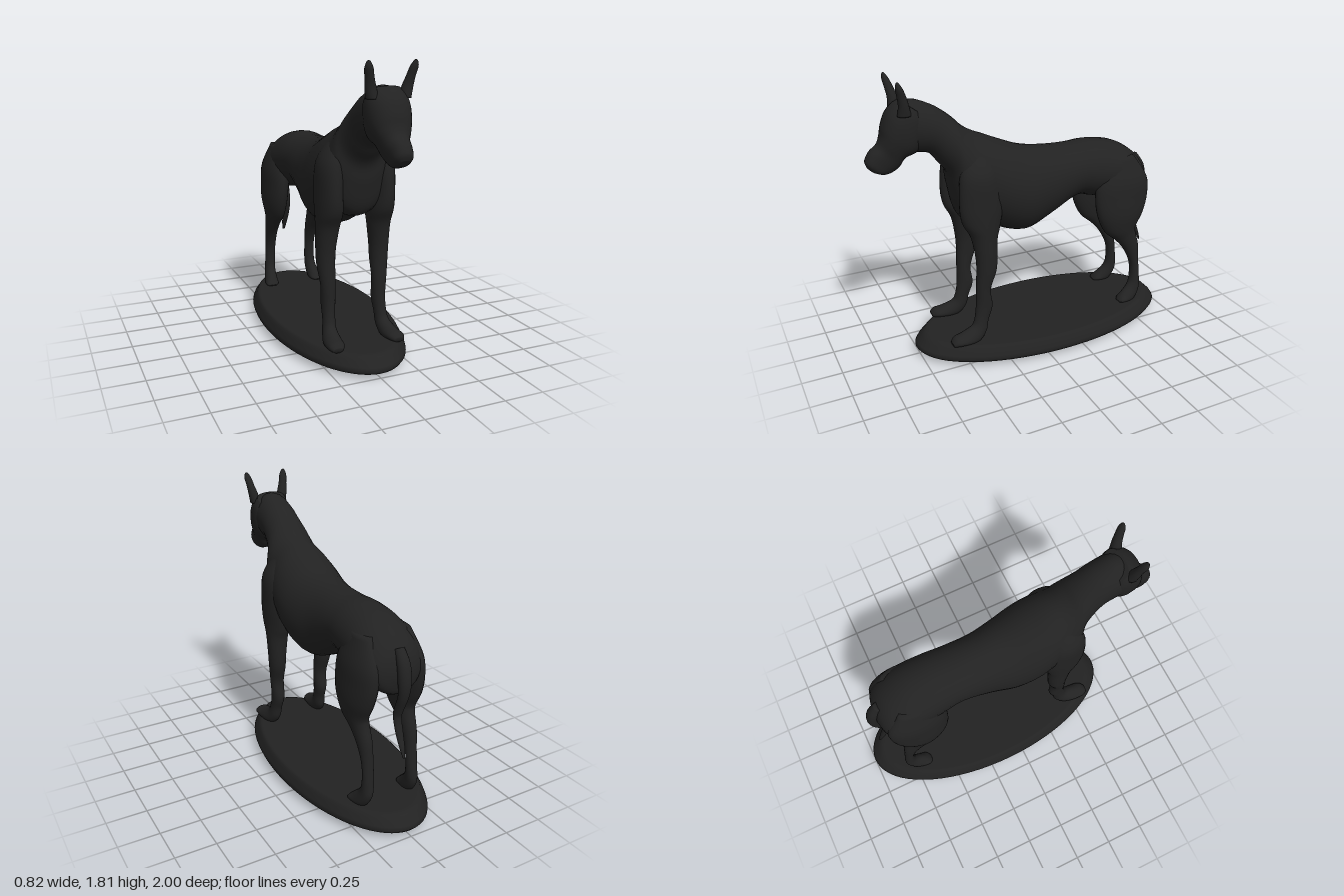
import * as THREE from 'three';

const charcoal = new THREE.MeshStandardMaterial({ color: 0x222222 });
charcoal.name = 'charcoal';

// Smooth skin through cross-sections. Each station is
// [z1, y1, z2, y2, halfWidth, xCentre]: two opposite points of the side outline.
function loft(stations, side = 1, power = 1, steps = 5, sides = 28) {
  const at = (i) => stations[Math.max(0, Math.min(stations.length - 1, i))];
  const spline = (a, b, c, d, t) =>
    0.5 * (2 * b + (c - a) * t + (2 * a - 5 * b + 4 * c - d) * t * t + (3 * b - a - 3 * c + d) * t * t * t);
  const pos = [], index = [];
  const rings = (stations.length - 1) * steps + 1;
  const centres = [];
  for (let r = 0; r < rings; r++) {
    const i = Math.floor(r / steps), t = (r % steps) / steps;
    const [z1, y1, z2, y2, w, x] = [0, 1, 2, 3, 4, 5].map((k) =>
      spline(at(i - 1)[k] || 0, at(i)[k] || 0, at(i + 1)[k] || 0, at(i + 2)[k] || 0, t));
    const cy = (y1 + y2) / 2, cz = (z1 + z2) / 2;
    centres.push([x * side, cy, cz]);
    for (let j = 0; j < sides; j++) {
      const a = (j / sides) * Math.PI * 2;
      const c = Math.sign(Math.cos(a)) * Math.abs(Math.cos(a)) ** power;
      const s = Math.sign(Math.sin(a)) * Math.abs(Math.sin(a)) ** power;
      pos.push(x * side + c * w, cy + s * (y1 - y2) / 2, cz + s * (z1 - z2) / 2);
    }
  }
  for (let r = 0; r < rings - 1; r++) {
    for (let j = 0; j < sides; j++) {
      const k = (j + 1) % sides, p = r * sides, q = p + sides;
      index.push(p + j, p + k, q + j, p + k, q + k, q + j);
    }
  }
  // Close both ends
  const first = rings * sides, last = (rings - 1) * sides;
  pos.push(...centres[0], ...centres[rings - 1]);
  for (let j = 0; j < sides; j++) {
    const k = (j + 1) % sides;
    index.push(first, k, j, first + 1, last + j, last + k);
  }
  const geo = new THREE.BufferGeometry();
  geo.setAttribute('position', new THREE.Float32BufferAttribute(pos, 3));
  geo.setIndex(index);
  geo.computeVertexNormals();
  return geo;
}

export function createModel() {
  const model = new THREE.Group();
  const add = (name, geo) => {
    const mesh = new THREE.Mesh(geo, charcoal);
    mesh.name = name;
    model.add(mesh);
    return mesh;
  };

  // Oval plinth with a rounded rim
  const profile = [
    [0, 0], [0.8, 0], [0.83, 0.005], [0.92, 0.015], [0.98, 0.03], [1, 0.05], [0.985, 0.07],
    [0.95, 0.1], [0.93, 0.118], [0.905, 0.126], [0.88, 0.127], [0, 0.127],
  ].map(([r, y]) => new THREE.Vector2(r, y));
  const base = add('base', new THREE.LatheGeometry(profile, 72));
  base.scale.set(0.41, 1, 0.885);
  base.position.z = -0.115;

  // Trunk and neck, from rump to poll
  add('trunkAndNeck', loft([
    [-0.85, 1.01, -0.85, 0.93, 0.05],
    [-0.82, 1.1, -0.825, 0.85, 0.14],
    [-0.75, 1.18, -0.75, 0.84, 0.185],
    [-0.62, 1.25, -0.62, 0.86, 0.2],
    [-0.45, 1.28, -0.45, 0.9, 0.19],
    [-0.3, 1.275, -0.33, 0.92, 0.18],
    [-0.12, 1.285, -0.14, 0.82, 0.19],
    [0.03, 1.31, 0.02, 0.757, 0.22],
    [0.17, 1.365, 0.16, 0.785, 0.235],
    [0.27, 1.41, 0.3, 0.86, 0.225],
    [0.36, 1.45, 0.45, 0.91, 0.2],
    [0.42, 1.49, 0.5, 1.08, 0.175],
    [0.47, 1.54, 0.515, 1.2, 0.15],
    [0.53, 1.59, 0.57, 1.28, 0.132],
    [0.6, 1.635, 0.63, 1.35, 0.125],
    [0.7, 1.675, 0.72, 1.37, 0.122],
    [0.77, 1.665, 0.78, 1.4, 0.11],
    [0.81, 1.63, 0.82, 1.46, 0.07],
  ]));

  // Head, from forehead down to muzzle
  add('head', loft([
    [0.77, 1.675, 0.68, 1.61, 0.1],
    [0.815, 1.655, 0.66, 1.53, 0.122],
    [0.86, 1.61, 0.67, 1.44, 0.128],
    [0.89, 1.54, 0.7, 1.375, 0.12],
    [0.903, 1.48, 0.77, 1.345, 0.1],
    [0.925, 1.435, 0.805, 1.295, 0.078],
    [0.97, 1.4, 0.85, 1.265, 0.065],
    [0.998, 1.35, 0.9, 1.258, 0.055],
    [0.99, 1.31, 0.95, 1.275, 0.03],
  ], 1, 0.85));

  // Tail with an S-bend
  add('tail', loft([
    [-0.78, 1.1, -0.83, 1.13, 0.03],
    [-0.82, 1.02, -0.885, 1.05, 0.04],
    [-0.835, 0.93, -0.906, 0.94, 0.04],
    [-0.835, 0.85, -0.892, 0.84, 0.033],
    [-0.805, 0.77, -0.855, 0.75, 0.028],
    [-0.792, 0.71, -0.838, 0.69, 0.026],
    [-0.82, 0.62, -0.86, 0.6, 0.024],
    [-0.855, 0.54, -0.885, 0.53, 0.018],
    [-0.89, 0.475, -0.9, 0.47, 0.008],
  ]));

  for (const [side, label] of [[1, 'left'], [-1, 'right']]) {
    // Pointed ear
    add(label + 'Ear', loft([
      [0.74, 1.61, 0.82, 1.61, 0.035, 0.095],
      [0.755, 1.67, 0.815, 1.67, 0.032, 0.108],
      [0.77, 1.72, 0.823, 1.725, 0.026, 0.12],
      [0.79, 1.77, 0.832, 1.775, 0.024, 0.131],
      [0.808, 1.8, 0.828, 1.805, 0.012, 0.136],
      [0.816, 1.81, 0.82, 1.81, 0.004, 0.137],
    ], side));

    // Shoulder, foreleg and forefoot
    add(label + 'Foreleg', loft([
      [0.44, 1.34, 0.32, 1.36, 0.03, 0.12],
      [0.49, 1.22, 0.25, 1.22, 0.075, 0.157],
      [0.505, 1.05, 0.23, 1.03, 0.075, 0.168],
      [0.49, 0.93, 0.25, 0.88, 0.077, 0.165],
      [0.44, 0.83, 0.27, 0.8, 0.07, 0.168],
      [0.415, 0.7, 0.275, 0.68, 0.06, 0.175],
      [0.41, 0.6, 0.285, 0.58, 0.055, 0.175],
      [0.415, 0.48, 0.322, 0.46, 0.046, 0.17],
      [0.418, 0.36, 0.31, 0.34, 0.042, 0.168],
      [0.43, 0.27, 0.34, 0.25, 0.038, 0.172],
      [0.455, 0.22, 0.36, 0.17, 0.042, 0.178],
      [0.53, 0.19, 0.42, 0.115, 0.053, 0.188],
      [0.575, 0.178, 0.54, 0.118, 0.052, 0.195],
      [0.6, 0.155, 0.592, 0.125, 0.03, 0.2],
    ], side));

    // Thigh, hock and hind foot
    add(label + 'HindLeg', loft([
      [-0.53, 1.17, -0.72, 1.17, 0.04, 0.13],
      [-0.45, 1.02, -0.815, 1.02, 0.08, 0.145],
      [-0.435, 0.9, -0.82, 0.89, 0.08, 0.157],
      [-0.455, 0.78, -0.79, 0.78, 0.077, 0.163],
      [-0.51, 0.67, -0.745, 0.69, 0.062, 0.162],
      [-0.6, 0.59, -0.745, 0.64, 0.05, 0.158],
      [-0.675, 0.5, -0.775, 0.54, 0.042, 0.155],
      [-0.725, 0.39, -0.787, 0.41, 0.036, 0.153],
      [-0.73, 0.28, -0.802, 0.27, 0.036, 0.155],
      [-0.71, 0.225, -0.8, 0.19, 0.038, 0.16],
      [-0.67, 0.185, -0.75, 0.118, 0.045, 0.168],
      [-0.64, 0.155, -0.67, 0.118, 0.045, 0.175],
      [-0.625, 0.135, -0.635, 0.122, 0.025, 0.178],
    ], side));
  }

  return model;
}
